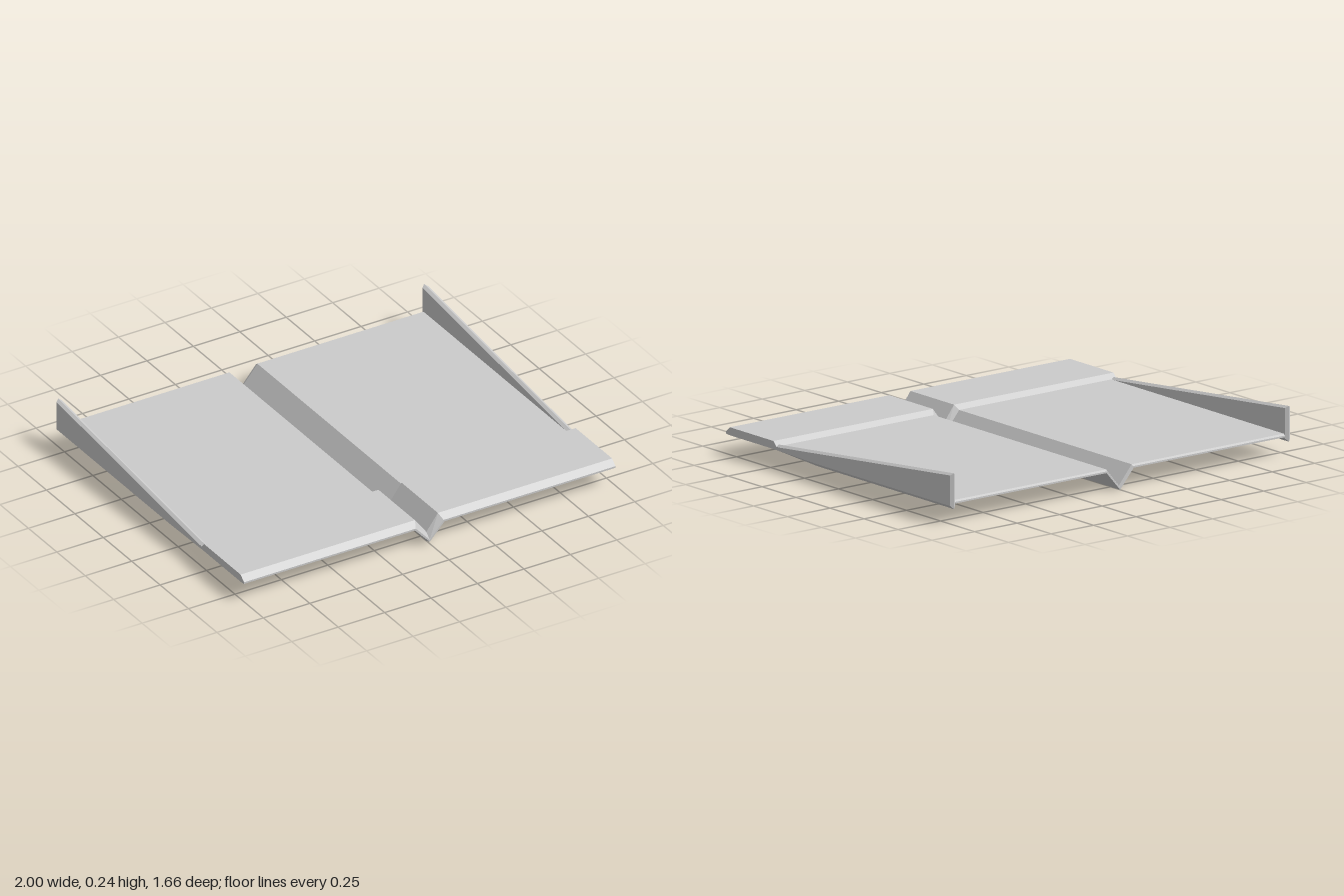
import * as THREE from 'three';
import { ConvexGeometry } from 'three/addons/geometries/ConvexGeometry.js';

const material = new THREE.MeshStandardMaterial({ color: 0xcccccc, flatShading: true });

// Ring of a folded sheet: flat wings either side of a V keel.
// top / bottom: wing heights, valley / keel: heights of the fold, inner / outer: half widths of the V
function section({ z, top, bottom, valley, keel, inner, outer }) {
  const upper = [[-1, top], [-inner, top], [0, valley], [inner, top], [1, top]];
  const lower = [[1, bottom], [outer, bottom], [0, keel], [-outer, bottom], [-1, bottom]];
  return [...upper, ...lower].map(([x, y]) => new THREE.Vector3(x, y, z));
}

// Join rings (ordered front to back) and close both ends strip by strip
function loft(rings) {
  const positions = [];
  const quad = (a, b, c, d) => [a, b, c, a, c, d].forEach((p) => positions.push(p.x, p.y, p.z));
  const n = rings[0].length;
  for (let r = 0; r < rings.length - 1; r++) {
    for (let i = 0; i < n; i++) {
      const j = (i + 1) % n;
      quad(rings[r][i], rings[r][j], rings[r + 1][j], rings[r + 1][i]);
    }
  }
  const front = rings[0];
  const back = rings[rings.length - 1];
  for (let i = 0; i < n / 2 - 1; i++) {
    const k = n - 1 - i;
    quad(front[i], front[k], front[k - 1], front[i + 1]);
    quad(back[i], back[i + 1], back[k - 1], back[k]);
  }
  const geometry = new THREE.BufferGeometry();
  geometry.setAttribute('position', new THREE.Float32BufferAttribute(positions, 3));
  geometry.computeVertexNormals();
  return geometry;
}

// Upright fin with a ridge around its rim; outlines are [z, y]
function finGeometry() {
  const rim = [[0.46, 0.115], [-0.83, 0.24], [-0.83, 0.07], [0.17, 0.07], [0.46, 0.09]];
  const face = [[0.46, 0.105], [-0.82, 0.23], [-0.82, 0.085], [0.17, 0.085], [0.46, 0.092]];
  const at = (outline, x) => outline.map(([z, y]) => new THREE.Vector3(x, y, z));
  return new ConvexGeometry([...at(face, -0.015), ...at(rim, 0), ...at(face, 0.015)]);
}

export function createModel() {
  const model = new THREE.Group();
  model.name = 'glider';

  // Thick leading band with a bevelled nose, stepping down to a thin sheet
  const thick = { top: 0.13, bottom: 0.092, valley: 0.048, keel: 0, inner: 0.062, outer: 0.08 };
  const thin = { ...thick, top: 0.107, valley: 0.018, inner: 0.075 };
  const nose = { ...thin, top: 0.104, bottom: 0.095, valley: 0.021, keel: 0.01 };
  const tail = { ...thin, top: 0.1, valley: 0.011 };
  const wing = new THREE.Mesh(loft([
    section({ ...nose, z: 0.83 }),
    section({ ...thick, z: 0.8 }),
    section({ ...thick, z: 0.48 }),
    section({ ...thin, z: 0.458 }),
    section({ ...thin, z: -0.81 }),
    section({ ...tail, z: -0.82 }),
  ]), material);
  wing.name = 'foldedWing';
  model.add(wing);

  // Wing tip fins
  const fin = finGeometry();
  for (const side of [1, -1]) {
    const mesh = new THREE.Mesh(fin, material);
    mesh.name = side > 0 ? 'leftFin' : 'rightFin';
    mesh.position.x = side * 0.985;
    model.add(mesh);
  }
  return model;
}
